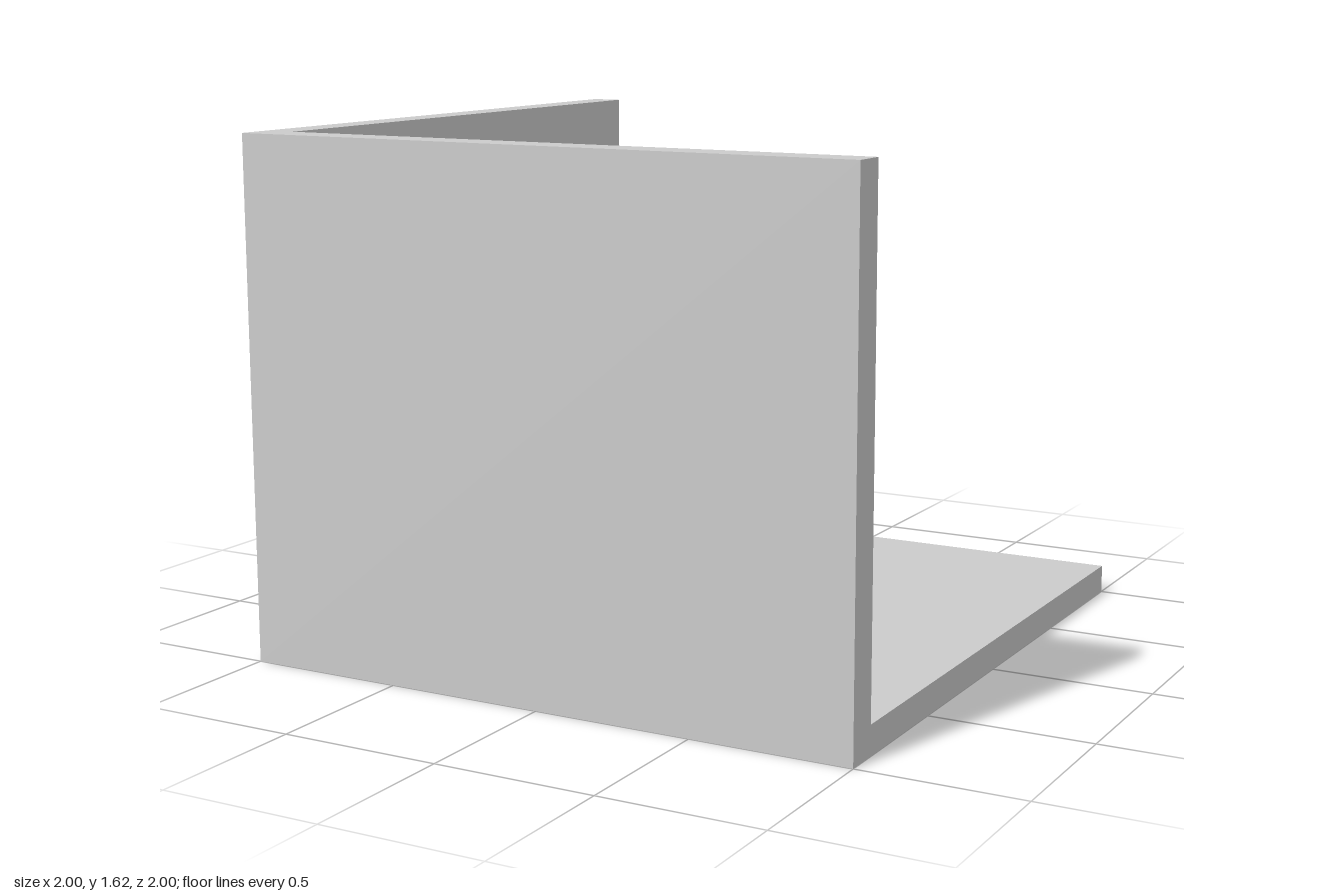
import * as THREE from 'three';

const HEIGHT = 1.615, FLOOR = 0.09;
const INNER_X = -0.9, INNER_Z = 0.89; // inside faces of the two walls

export function createModel() {
  const group = new THREE.Group();
  const material = new THREE.MeshStandardMaterial({ color: 0xcccccc, flatShading: true });

  const add = (name, geometry) => {
    const mesh = new THREE.Mesh(geometry, material);
    mesh.name = name;
    group.add(mesh);
  };

  // Box given by its min and max corners
  const box = (x0, y0, z0, x1, y1, z1) =>
    new THREE.BoxGeometry(x1 - x0, y1 - y0, z1 - z0)
      .translate((x0 + x1) / 2, (y0 + y1) / 2, (z0 + z1) / 2);

  // Rectangle outline, used for the wall and its window opening
  const rect = (path, u0, v0, u1, v1) =>
    path.moveTo(u0, v0).lineTo(u1, v0).lineTo(u1, v1).lineTo(u0, v1).closePath();

  // Floor slab and solid front wall
  add('floor', box(INNER_X, 0, -1, 1, FLOOR, INNER_Z));
  add('frontWall', box(-1, 0, INNER_Z, 1, HEIGHT, 1));

  // Side wall with a window, drawn in (z, y) and extruded towards -x
  const wall = rect(new THREE.Shape(), -1, 0, INNER_Z, HEIGHT);
  wall.holes.push(rect(new THREE.Path(), -0.36, 0.545, 0.29, 1.265));
  const wallGeometry = new THREE.ExtrudeGeometry(wall, { depth: 1 + INNER_X, bevelEnabled: false });
  add('windowWall', wallGeometry.rotateY(-Math.PI / 2).translate(INNER_X, 0, 0));

  return group;
}
